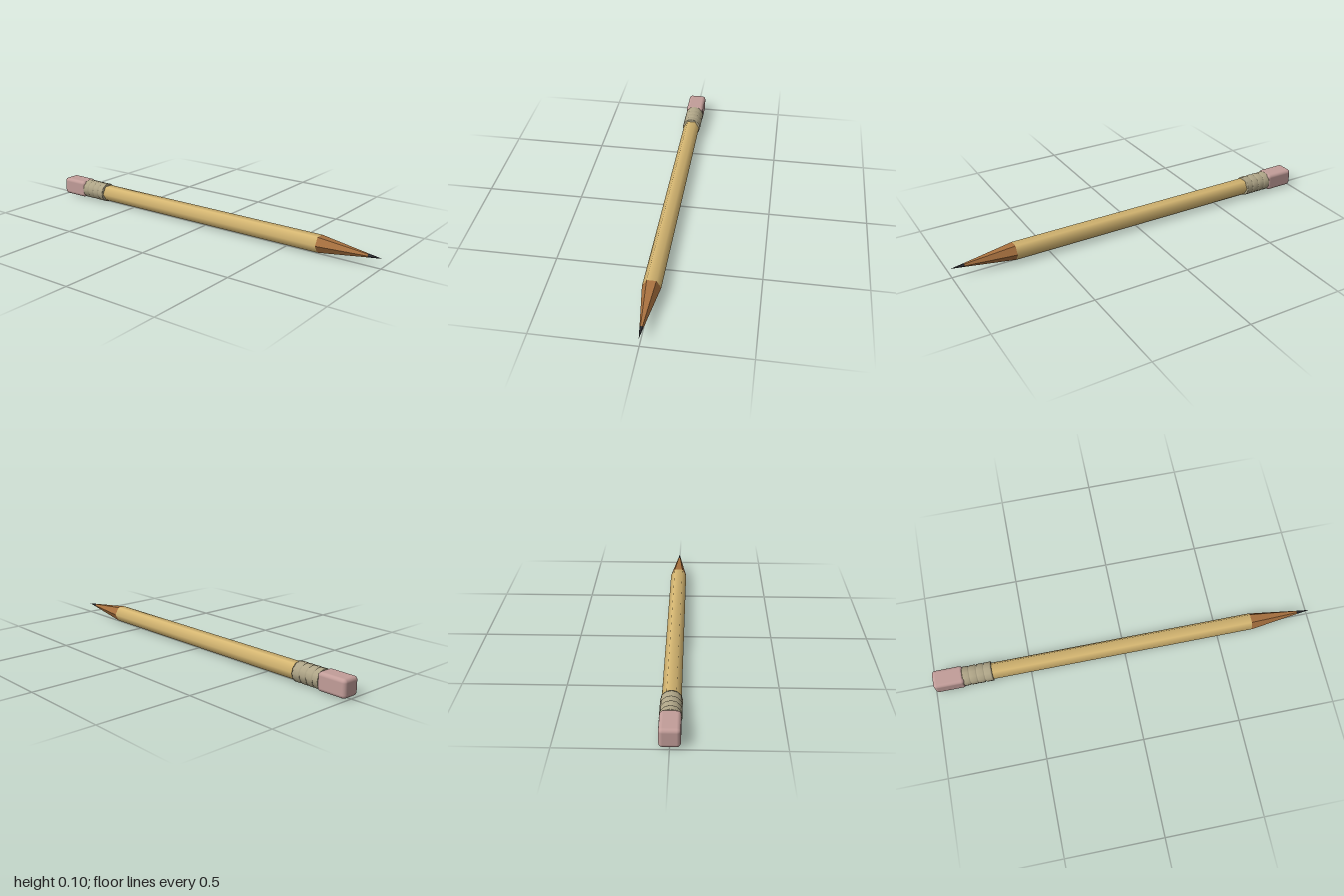
import * as THREE from 'three';
import { RoundedBoxGeometry } from 'three/addons/geometries/RoundedBoxGeometry.js';

const material = (name, color, flatShading = false) => {
  const m = new THREE.MeshStandardMaterial({ color, flatShading });
  m.name = name;
  return m;
};

export function createModel() {
  const paint = material('yellow paint', 0xd6b772);
  const wood = material('bare wood', 0xa8713f, true);
  const lead = material('graphite', 0x35353a, true);
  const metal = material('ferrule metal', 0xb0a688);
  const rubber = material('pink rubber', 0xc29d99);

  const pencil = new THREE.Group();
  pencil.name = 'pencil';
  const add = (name, geometry, mat) => {
    const mesh = new THREE.Mesh(geometry, mat);
    mesh.name = name;
    pencil.add(mesh);
  };

  // Six-sided length of the pencil along x, from x0 to x1
  const hexSection = (x0, x1, r0, r1) =>
    new THREE.CylinderGeometry(r1, r0, x1 - x0, 6)
      .rotateZ(-Math.PI / 2)
      .translate((x0 + x1) / 2, 0, 0);

  const R = 0.045, coneStart = 0.68, leadStart = 0.935;
  const leadR = R * (1 - leadStart) / (1 - coneStart);
  add('shaft', hexSection(-0.72, coneStart, R, R), paint);
  add('sharpenedWood', hexSection(coneStart, leadStart, R, leadR), wood);
  add('leadTip', hexSection(leadStart, 1, leadR, 0.0005), lead);

  // Ferrule: a ringed sleeve with raised bands and shallow grooves
  const profile = [[0, -0.848], [0.049, -0.848]];
  for (const x of [-0.845, -0.807, -0.769, -0.731]) {
    profile.push([0.051, x], [0.051, x + 0.028], [0.047, x + 0.031], [0.047, x + 0.036]);
  }
  profile.splice(-2, 2, [0.051, -0.695], [0, -0.695]);
  const points = profile.map(([r, x]) => new THREE.Vector2(r, x));
  add('ferrule', new THREE.LatheGeometry(points, 12).rotateZ(-Math.PI / 2), metal);

  // Eraser block with softened corners
  add('eraser', new RoundedBoxGeometry(0.16, 0.092, 0.096, 3, 0.018).translate(-0.92, 0, 0), rubber);

  pencil.position.y = 0.052;
  const model = new THREE.Group();
  model.name = 'model';
  model.add(pencil);
  return model;
}
